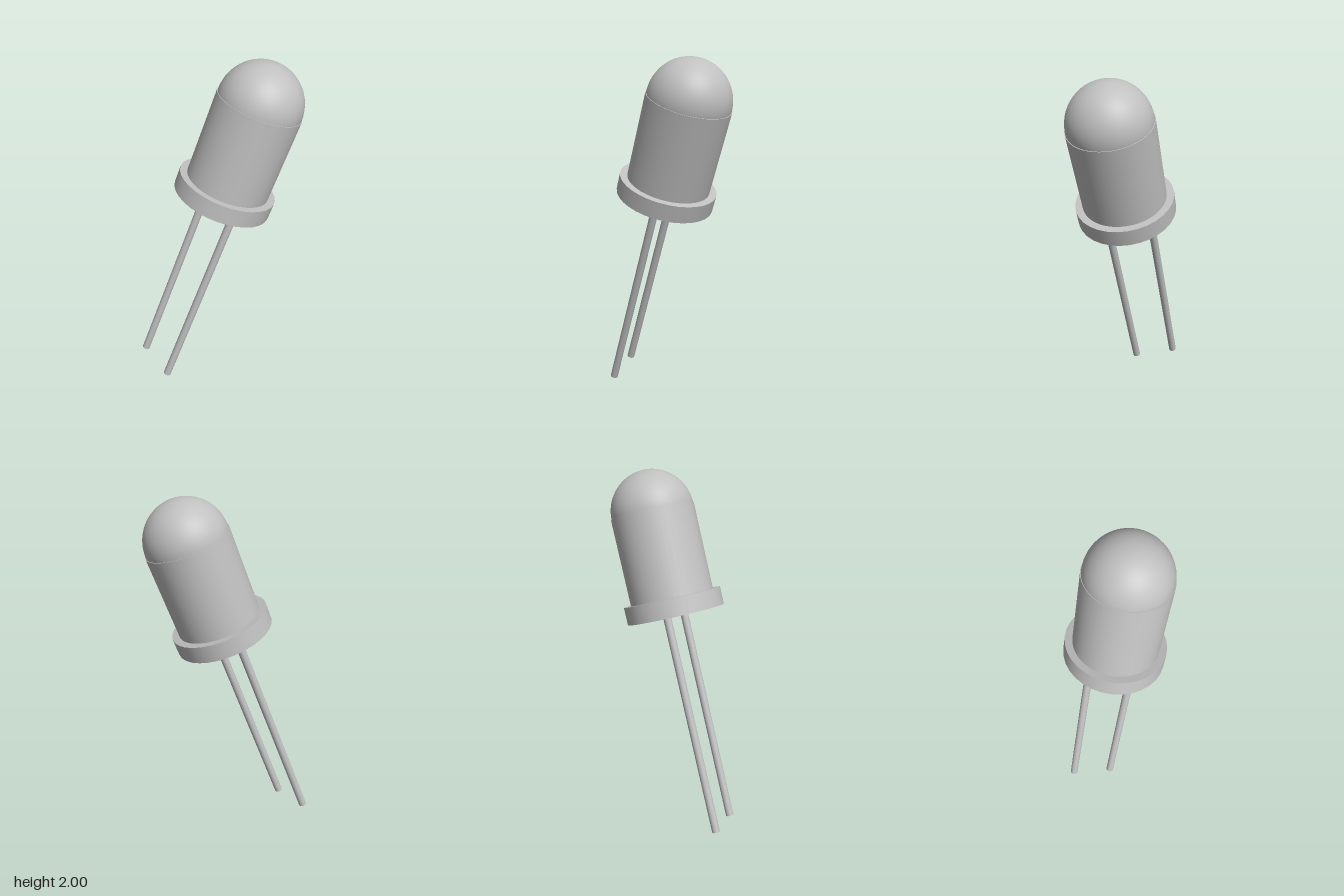
import * as THREE from 'three';

export function createModel() {
  const model = new THREE.Group();
  model.name = 'lightDiode';
  const grey = new THREE.MeshStandardMaterial({ color: 0xc0c0c0 });
  grey.name = 'plain grey';

  // Everything is built upright around the flange's underside, then tilted
  const diode = new THREE.Group();
  diode.name = 'tiltedDiode';
  const add = (name, geometry, x, y) => {
    const mesh = new THREE.Mesh(geometry, grey);
    mesh.name = name;
    mesh.position.set(x, y, 0);
    diode.add(mesh);
  };

  const flangeHeight = 0.1, seam = 0.591, leadLength = 1.255;

  // Wide collar at the foot of the bulb
  add('flange', new THREE.CylinderGeometry(0.28, 0.28, flangeHeight, 32), 0, flangeHeight / 2);

  // Bulb body, leaving a hairline ledge under the dome
  const bodyHeight = seam - flangeHeight;
  add('body', new THREE.CylinderGeometry(0.238, 0.238, bodyHeight, 48), 0, flangeHeight + bodyHeight / 2);
  add('dome', new THREE.SphereGeometry(0.234, 48, 20, 0, Math.PI * 2, 0, Math.PI / 2), 0, seam);

  // Two wire leads
  for (const side of [-1, 1]) {
    add(side < 0 ? 'rightLead' : 'leftLead',
      new THREE.CylinderGeometry(0.0225, 0.0225, leadLength, 20), side * 0.124, -leadLength / 2);
  }

  // Lean back and to the side, keeping the leads level front to back
  const up = new THREE.Vector3(0.154, 0.94, -0.3055).normalize();
  const across = new THREE.Vector3(up.y, -up.x, 0).normalize();
  const forward = new THREE.Vector3().crossVectors(across, up);
  diode.quaternion.setFromRotationMatrix(new THREE.Matrix4().makeBasis(across, up, forward));
  diode.position.set(0.003, 1.21, 0.004);
  model.add(diode);
  return model;
}
